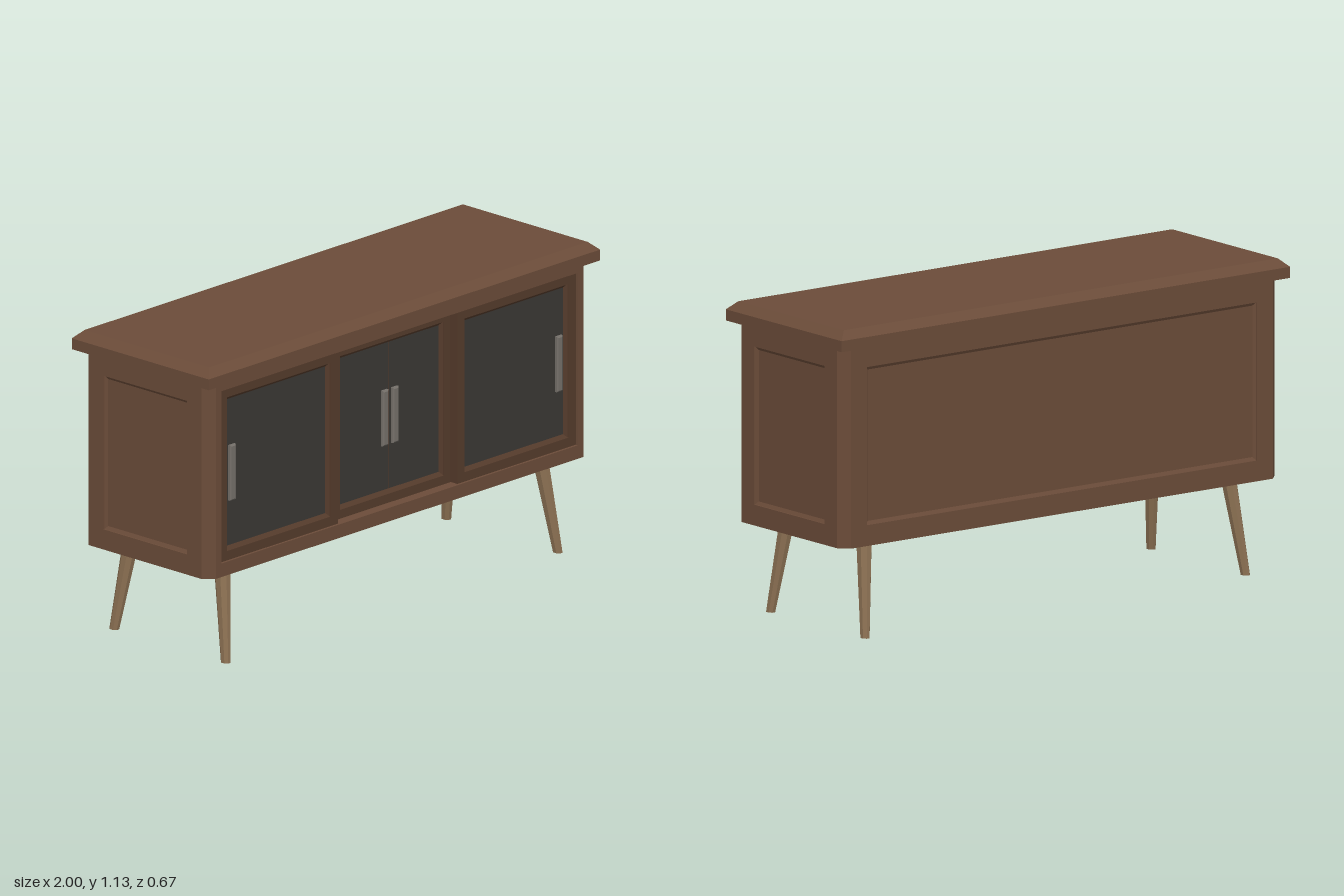
import * as THREE from 'three';

const mat = (color) => new THREE.MeshStandardMaterial({ color, flatShading: true, side: THREE.DoubleSide });

// Nested rectangles [halfWidth, halfHeight, z] joined by flat bands, last one capped
function rectLoft(rings, cap = true) {
  const pos = [];
  const corners = ([w, h, z]) => [[-w, -h, z], [w, -h, z], [w, h, z], [-w, h, z]];
  const quad = (a, b, c, d) => pos.push(...a, ...b, ...c, ...a, ...c, ...d);
  for (let i = 0; i < rings.length - 1; i++) {
    const a = corners(rings[i]), b = corners(rings[i + 1]);
    for (let k = 0; k < 4; k++) {
      const n = (k + 1) % 4;
      quad(a[k], a[n], b[n], b[k]);
    }
  }
  if (cap) quad(...corners(rings[rings.length - 1]));
  const g = new THREE.BufferGeometry();
  g.setAttribute('position', new THREE.Float32BufferAttribute(pos, 3));
  g.computeVertexNormals();
  return g;
}

export function createModel() {
  const model = new THREE.Group();
  model.name = 'sideboard';
  const wood = mat(0x6b4c39), darkWood = mat(0x553b2b), legWood = mat(0x8c7153);
  const glass = mat(0x3a3834), metal = mat(0x75706a);

  const add = (name, geometry, material, x = 0, y = 0, z = 0) => {
    const m = new THREE.Mesh(geometry, material);
    m.name = name;
    m.position.set(x, y, z);
    model.add(m);
    return m;
  };

  // Overhanging top with bevelled upper edge
  add('top', rectLoft([
    [0, 0, 1.06], [1, 0.333, 1.06], [1, 0.333, 1.10], [0.967, 0.303, 1.13],
  ]), wood).rotation.x = -Math.PI / 2;

  // Carcass: sides and back with recessed panels
  for (const s of [1, -1]) {
    add(s > 0 ? 'leftSide' : 'rightSide', rectLoft([
      [0.275, 0.36, 0.975], [0.203, 0.285, 0.975], [0.203, 0.285, 0.97], [0.191, 0.273, 0.963],
    ]), wood, 0, 0.7, 0).rotation.y = s * Math.PI / 2;
  }
  add('back', rectLoft([
    [0.94, 0.36, 0.31], [0.87, 0.285, 0.31], [0.87, 0.285, 0.305], [0.858, 0.273, 0.298],
  ]), wood, 0, 0.7, 0).rotation.y = Math.PI;

  // Front surround, built as four rails around the opening
  const surround = new THREE.Shape();
  surround.moveTo(-0.94, 0.34).lineTo(0.94, 0.34).lineTo(0.94, 1.06).lineTo(-0.94, 1.06).closePath();
  const opening = new THREE.Path();
  opening.moveTo(-0.91, 0.39).lineTo(-0.91, 1.03).lineTo(0.91, 1.03).lineTo(0.91, 0.39).closePath();
  surround.holes.push(opening);
  add('frontSurround', new THREE.ExtrudeGeometry(surround, { depth: 0.06, bevelEnabled: false }), wood, 0, 0, 0.25);

  // Chamfered vertical corners
  for (const sx of [1, -1]) for (const sz of [1, -1]) {
    add('cornerChamfer', new THREE.PlaneGeometry(0.0495, 0.72), wood, sx * 0.9575, 0.7, sz * 0.2925)
      .rotation.y = Math.atan2(sx, sz);
  }

  // Underside with clipped corners
  const base = new THREE.Shape();
  [[0.94, 0.31], [-0.94, 0.31], [-0.975, 0.275], [-0.975, -0.275],
    [-0.94, -0.31], [0.94, -0.31], [0.975, -0.275], [0.975, 0.275]]
    .forEach(([x, y], i) => (i ? base.lineTo(x, y) : base.moveTo(x, y)));
  add('underside', new THREE.ShapeGeometry(base), wood, 0, 0.34, 0).rotation.x = Math.PI / 2;

  // Door handles with a softened face
  const handle = (x, z) => add('handle', rectLoft([
    [0.015, 0.103, 0], [0.015, 0.103, 0.008], [0.01, 0.098, 0.012],
  ]), metal, x, 0.707, z);

  // Outer doors, standing in front of the middle pair
  for (const s of [1, -1]) {
    add('outerDoorFrame', rectLoft([
      [0.3025, 0.32, 0.25], [0.3025, 0.32, 0.30], [0.265, 0.285, 0.30], [0.265, 0.285, 0.295], [0.252, 0.272, 0.285],
    ], false), darkWood, s * 0.6075, 0.71, 0);
    add('outerDoorPane', new THREE.PlaneGeometry(0.504, 0.544), glass, s * 0.6075, 0.71, 0.285);
    handle(s * 0.835, 0.285);
  }

  // Recessed middle pair of doors
  add('middleDoorFrame', rectLoft([
    [0.305, 0.32, 0.262], [0.296, 0.318, 0.272], [0.266, 0.285, 0.272], [0.266, 0.285, 0.267], [0.254, 0.272, 0.257],
  ], false), darkWood, 0, 0.71, 0);
  for (const s of [1, -1]) {
    add('middleDoorPane', new THREE.PlaneGeometry(0.252, 0.544), glass, s * 0.128, 0.71, 0.257);
    handle(s * 0.026, 0.257);
  }
  add('doorSeam', new THREE.PlaneGeometry(0.008, 0.544), darkWood, 0, 0.71, 0.254);

  // Splayed, tapered eight-sided legs
  for (const sx of [1, -1]) for (const sz of [1, -1]) {
    const g = new THREE.CylinderGeometry(0.0325, 0.0195, 0.34, 8);
    g.rotateY(Math.PI / 8);
    g.scale(0.82, 1, 1);
    const p = g.attributes.position;
    for (let i = 0; i < p.count; i++) {
      const t = p.getY(i) / 0.34 + 0.5;
      p.setX(i, p.getX(i) + sx * (0.848 - 0.035 * t));
      p.setZ(i, p.getZ(i) + sz * (0.271 - 0.051 * t));
    }
    g.computeVertexNormals();
    add((sz > 0 ? 'front' : 'back') + (sx > 0 ? 'Left' : 'Right') + 'Leg', g, legWood, 0, 0.17, 0);
  }
  return model;
}
